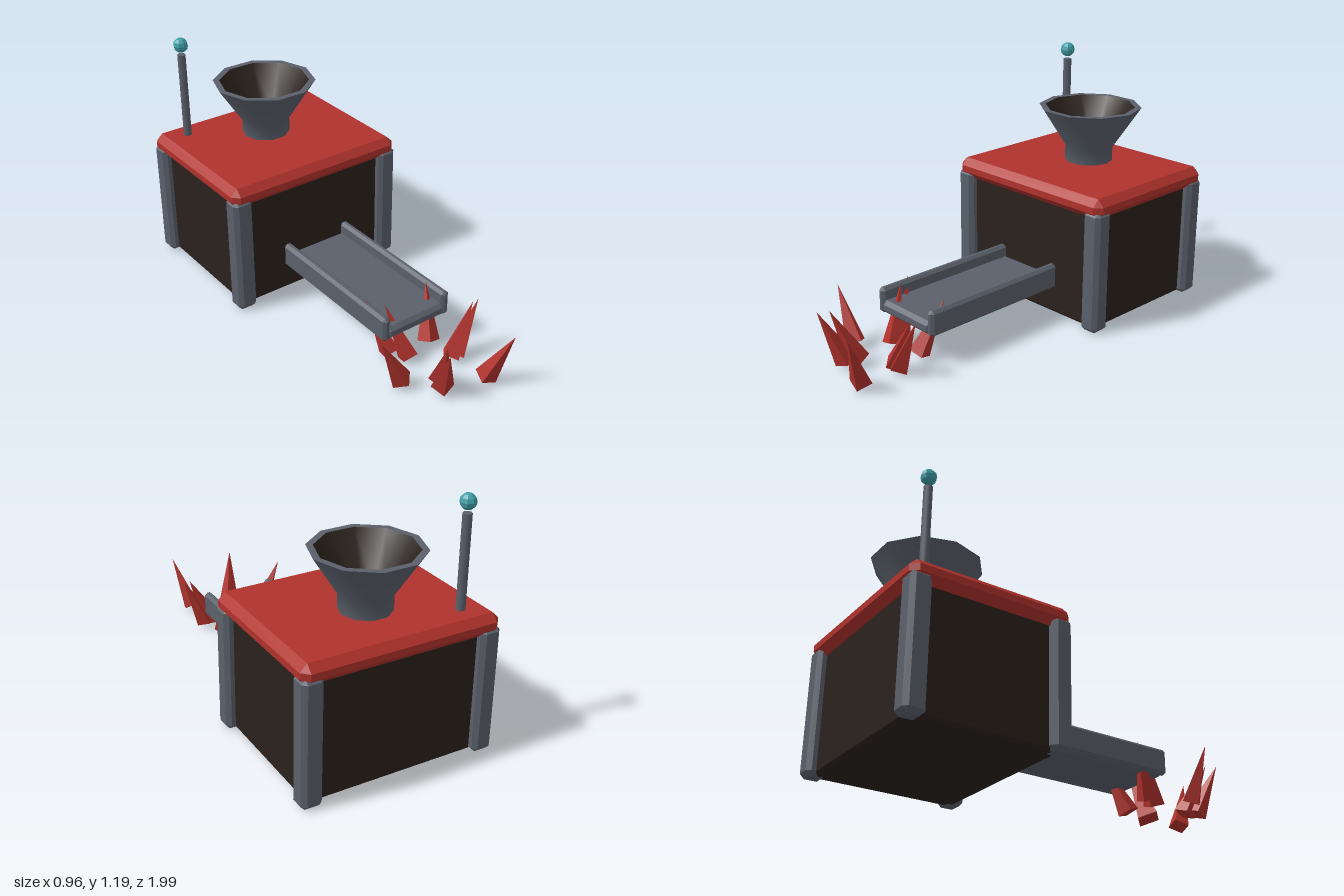
import * as THREE from 'three';
import { ConvexGeometry } from 'three/addons/geometries/ConvexGeometry.js';

const material = (color, flat = true) => new THREE.MeshStandardMaterial({ color, flatShading: flat });
const red = material(0xb0322c);
const grey = material(0x5a606b);
const greySmooth = material(0x5a606b, false);
const dark = material(0x2a211c);
const darkSmooth = material(0x2a211c, false);
const teal = material(0x3fa0a8);

// Box with every edge chamfered by c
function chamferBox(w, h, d, c) {
  const half = [w / 2, h / 2, d / 2];
  const points = [];
  for (const sx of [-1, 1]) for (const sy of [-1, 1]) for (const sz of [-1, 1]) {
    for (let axis = 0; axis < 3; axis++) {
      const [x, y, z] = half.map((v, i) => (i === axis ? v : v - c));
      points.push(new THREE.Vector3(sx * x, sy * y, sz * z));
    }
  }
  return new ConvexGeometry(points);
}

export function createModel() {
  const model = new THREE.Group();
  model.name = 'hopperMachine';

  function add(name, geometry, mat, x, y, z, parent = model) {
    const mesh = new THREE.Mesh(geometry, mat);
    mesh.name = name;
    mesh.position.set(x, y, z);
    parent.add(mesh);
    return mesh;
  }

  // Housing: dark body, corner posts and lid
  const bodyZ = -0.607;
  add('body', chamferBox(0.88, 0.6, 0.705, 0.015), dark, 0, 0.302, bodyZ);
  add('lid', chamferBox(0.96, 0.1, 0.785, 0.034), red, 0, 0.62, bodyZ);
  const post = chamferBox(0.1, 0.61, 0.1, 0.02);
  for (const sx of [-1, 1]) for (const sz of [-1, 1]) {
    add('cornerPost', post, grey, sx * 0.43, 0.305, bodyZ + sz * 0.343);
  }

  // Ten-sided funnel with a dark lining
  const lathe = (profile) => new THREE.LatheGeometry(
    profile.map(([r, y]) => new THREE.Vector2(r, y)), 10, Math.PI / 2);
  const funnel = new THREE.Group();
  funnel.name = 'funnel';
  funnel.position.z = -0.68;
  model.add(funnel);
  add('funnelShell', lathe([[0.12, 0.66], [0.12, 0.74], [0.257, 0.95]]), greySmooth, 0, 0, 0, funnel);
  add('funnelRim', lathe([[0.257, 0.95], [0.225, 0.95]]), grey, 0, 0, 0, funnel);
  add('funnelLining', lathe([[0.225, 0.95], [0.09, 0.74]]), darkSmooth, 0, 0, 0, funnel);
  add('funnelFloor', lathe([[0.09, 0.74], [0, 0.74]]), dark, 0, 0, 0, funnel);

  // Antenna with a floating ball
  add('antennaRod', new THREE.CylinderGeometry(0.021, 0.021, 0.445, 8), greySmooth, -0.345, 0.883, -0.88);
  add('antennaBall', new THREE.SphereGeometry(0.037, 8, 6), teal, -0.345, 1.155, -0.88);

  // Output chute
  add('chuteFloor', chamferBox(0.34, 0.065, 0.8, 0.018), grey, 0, 0.178, 0.145);
  for (const s of [-1, 1]) {
    add('chuteRail', chamferBox(0.042, 0.125, 0.8, 0.014), grey, s * 0.173, 0.208, 0.145);
  }

  // Four-sided spikes leaning outward around a point: [angle in degrees, distance]
  const height = 0.278;
  const spike = new THREE.ConeGeometry(0.053, height, 4);
  spike.translate(0, height / 2, 0);
  spike.rotateZ(-0.44);
  const layout = [[0, 0.095], [0, 0.127], [60, 0.237], [120, 0.105], [120, 0.16],
    [180, 0.2], [240, 0.134], [240, 0.226], [300, 0.17]];
  const spikes = new THREE.Group();
  spikes.name = 'spikes';
  spikes.position.z = 0.68;
  model.add(spikes);
  for (const [degrees, distance] of layout) {
    const a = THREE.MathUtils.degToRad(degrees);
    const mesh = add('spike', spike, red, Math.cos(a) * distance, 0.032, Math.sin(a) * distance, spikes);
    mesh.rotation.y = -a;
  }

  return model;
}
